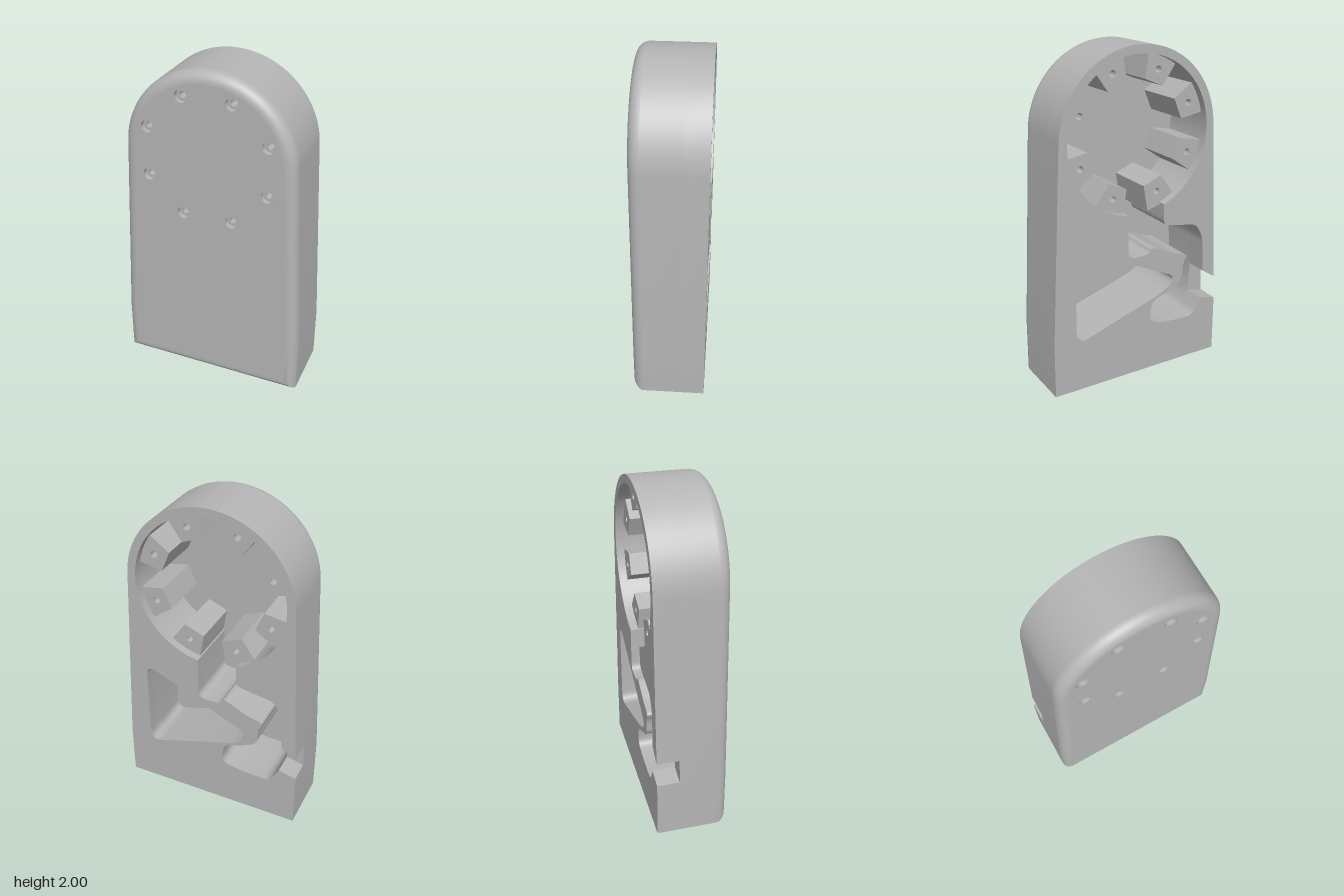
import * as THREE from 'three';
import { toCreasedNormals } from 'three/addons/utils/BufferGeometryUtils.js';

const BACK = -0.215, FRONT = 0.215, FLOOR = 0.15;   // depth planes
const NOTCH = -0.08, BOSS_TOP = -0.165;
const CY = 1.49, R = 0.51, CAVITY_R = 0.46;         // round head and its cavity
const SCREW_R = 0.386, HOLE_R = 0.02, BORE_R = 0.037;
const V = (x, y) => new THREE.Vector2(x, y);
const rad = THREE.MathUtils.degToRad;

// Points on an arc around the head centre, angles in degrees
function arc(r, from, to, n) {
  return Array.from({ length: n + 1 }, (_, i) => {
    const a = rad(from + (to - from) * i / n);
    return V(r * Math.cos(a), CY + r * Math.sin(a));
  });
}

// Rounds the corners of a point list; an open list keeps its end points
function rounded(pairs, r, closed) {
  const p = pairs.map(([x, y]) => V(x, y)), n = p.length, out = [];
  p.forEach((c, i) => {
    if (!closed && (i === 0 || i === n - 1)) { out.push(c); return; }
    const a = p[(i + n - 1) % n], b = p[(i + 1) % n];
    const cut = q => c.clone().lerp(q, Math.min(0.48, r / c.distanceTo(q)));
    out.push(...new THREE.QuadraticBezierCurve(cut(a), c, cut(b)).getPoints(6));
  });
  return out;
}

// Moves every side of a counter-clockwise loop inwards by d
function inset(loop, d) {
  const n = loop.length;
  return loop.map((p, i) => {
    const e = p.clone().sub(loop[(i + n - 1) % n]).normalize();
    const f = loop[(i + 1) % n].clone().sub(p).normalize();
    const n1 = V(-e.y, e.x), n2 = V(-f.y, f.x);
    return p.clone().addScaledVector(n1.clone().add(n2), d / (1 + n1.dot(n2)));
  });
}

function makeShape(points, holes = []) {
  const s = new THREE.Shape(points);
  s.holes = holes.map(h => new THREE.Path(h));
  return s;
}

function circle(x, y, r) {
  return Array.from({ length: 20 }, (_, i) =>
    V(x + r * Math.cos(i * Math.PI / 10), y + r * Math.sin(i * Math.PI / 10)));
}

function slab(shape, z0, z1) {
  const g = new THREE.ExtrudeGeometry(shape, { depth: z1 - z0, bevelEnabled: false });
  return g.translate(0, 0, z0);
}

// Leaves the underside open for the drilled base plate
function withoutUnderside(g) {
  const src = g.index ? g.toNonIndexed() : g, a = src.attributes.position, keep = [];
  for (let i = 0; i < a.count; i += 3) {
    if (Math.max(a.getY(i), a.getY(i + 1), a.getY(i + 2)) < 1e-5) continue;
    for (let k = i; k < i + 3; k++) keep.push(a.getX(k), a.getY(k), a.getZ(k));
  }
  return new THREE.BufferGeometry().setAttribute('position', new THREE.Float32BufferAttribute(keep, 3));
}

export function createModel() {
  const grey = new THREE.MeshStandardMaterial({ color: 0xb4b4b4 });
  grey.name = 'grey plastic';
  const group = new THREE.Group();
  group.name = 'housing';
  const add = (name, geometry, crease = 0.5) => {
    const m = new THREE.Mesh(toCreasedNormals(geometry, crease), grey);
    m.name = name;
    group.add(m);
    return m;
  };

  // Outline: straight foot, tapering sides, round head
  const base = [V(-0.57, 0), V(0.57, 0), V(0.57, 0.33)];
  const outline = [...base, ...arc(R, 2.95, 177.05, 56), V(-0.57, 0.33)];
  const sideX = y => -0.57 + 0.061 * (y - 0.33) / 1.186;

  // Head cavity joined to the winding cable channel
  const upper = rounded([[-0.47, 0.57], [-0.46, 0.8], [-0.41, 0.89], [-0.29, 0.91],
    [-0.17, 0.93], [-0.17, 1.063]], 0.04, false);
  const lower = rounded([[0.075, 1.036], [0.075, 0.765], [-0.07, 0.765], [-0.09, 0.81],
    [-0.25, 0.73], [-0.355, 0.71], [-0.315, 0.65], [-0.315, 0.54], [-0.2, 0.485],
    [-0.09, 0.45], [-0.08, 0.31], [-0.2, 0.285], [-0.4, 0.275], [-0.46, 0.385]], 0.05, false);
  const channel = [...upper, ...arc(CAVITY_R, 248.3, -80.6, 64).slice(1, -1), ...lower];
  const pocket = rounded([[0.425, 0.9], [-0.27, 0.58], [-0.19, 0.5], [0.425, 0.3]], 0.08, true);

  // Rear layer, with the channel leaving through the side
  const rear = [...base, ...arc(R, 2.95, 177.05, 56), V(sideX(0.51), 0.51),
    ...channel, V(sideX(0.36), 0.36), V(-0.57, 0.33)];
  add('rearShell', withoutUnderside(slab(makeShape(rear, [pocket]), BACK, NOTCH)));
  add('middleShell', withoutUnderside(slab(makeShape(outline, [channel, pocket]), NOTCH, FLOOR)));

  // Rounded front edge
  const edge = FRONT - FLOOR, steps = 8, pos = [], idx = [], n = outline.length;
  for (let k = 0; k <= steps; k++) {
    const a = k / steps * Math.PI / 2;
    inset(outline, edge * (1 - Math.cos(a))).forEach(p => pos.push(p.x, p.y, FLOOR + edge * Math.sin(a)));
    if (k === steps) break;
    for (let i = 0; i < n; i++) {
      const j = (i + 1) % n, r0 = k * n, r1 = r0 + n;
      idx.push(r0 + i, r0 + j, r1 + j, r0 + i, r1 + j, r1 + i);
    }
  }
  const band = new THREE.BufferGeometry();
  band.setAttribute('position', new THREE.Float32BufferAttribute(pos, 3));
  band.setIndex(idx);
  add('roundedFrontEdge', band);

  // Front face and pocket floor, both drilled for the screws
  const angles = Array.from({ length: 8 }, (_, i) => 22.5 + 45 * i);
  const screws = angles.map(a => arc(SCREW_R, a, a, 1)[0]);
  const drilled = (loop, r) => new THREE.ShapeGeometry(makeShape(loop, screws.map(p => circle(p.x, p.y, r))));
  add('frontFace', drilled(inset(outline, edge), BORE_R).translate(0, 0, FRONT));
  add('pocketFloor', drilled(outline, HOLE_R).rotateY(Math.PI).translate(0, 0, FLOOR));

  // Screw bosses around the cavity, each with a counterbore in front
  const bore = [V(BORE_R, FRONT), V(BORE_R, FRONT - 0.03), V(HOLE_R, FRONT - 0.03), V(HOLE_R, FLOOR)];
  const bossShape = makeShape([V(0.31, -0.065), V(0.465, -0.1), V(0.475, 0), V(0.465, 0.1), V(0.31, 0.065)],
    [circle(SCREW_R, 0, HOLE_R)]);
  angles.forEach((a, i) => {
    const boss = add('screwBoss', slab(bossShape, BOSS_TOP, FLOOR));
    boss.rotation.z = rad(a);
    boss.position.y = CY;
    add('screwCounterbore', new THREE.LatheGeometry(bore, 20).rotateX(Math.PI / 2))
      .position.set(screws[i].x, screws[i].y, 0);
  });

  // Underside with four blind mounting holes
  const mounts = [-0.4, 0.4].flatMap(x => [-0.108, 0.12].map(z => V(x, z)));
  const foot = makeShape([V(-0.57, BACK), V(0.57, BACK), V(0.57, FLOOR), V(-0.57, FLOOR)],
    mounts.map(p => circle(p.x, p.y, 0.024)));
  add('underside', new THREE.ShapeGeometry(foot).rotateX(Math.PI / 2));
  mounts.forEach(p => {
    add('mountingHole', new THREE.LatheGeometry([V(0, 0.2), V(0.024, 0.2), V(0.024, 0)], 20))
      .position.set(p.x, 0, p.y);
  });
  return group;
}
